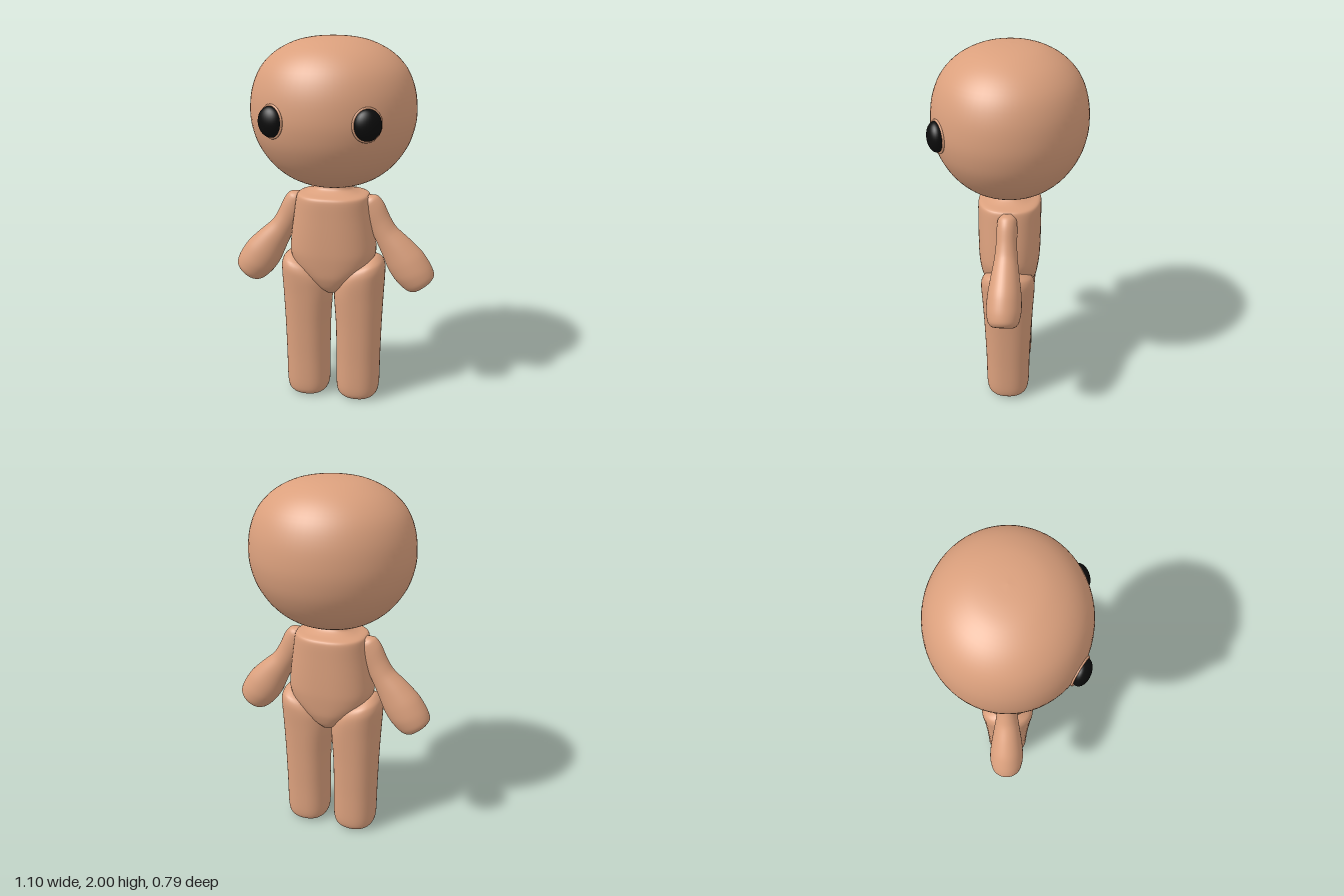
import * as THREE from 'three';

const skin = new THREE.MeshStandardMaterial({ color: 0xdba07d });
skin.name = 'skin';
const black = new THREE.MeshStandardMaterial({ color: 0x0c0c0c });
black.name = 'eyeBlack';

// Smooth closed loft. Each section, bottom to top: [right x, y, left x, y, half depth].
function loft(sections, power = 2, around = 40, steps = 4) {
  const ca = new THREE.CatmullRomCurve3(sections.map(s => new THREE.Vector3(s[0], s[1], s[4])), false, 'catmullrom', 0.4);
  const cb = new THREE.CatmullRomCurve3(sections.map(s => new THREE.Vector3(s[2], s[3], s[4])), false, 'catmullrom', 0.4);
  const rows = (sections.length - 1) * steps;
  const pos = [], index = [];
  const round = v => Math.sign(v) * Math.abs(v) ** (2 / power);
  for (let i = 0; i <= rows; i++) {
    const a = ca.getPoint(i / rows), b = cb.getPoint(i / rows);
    for (let j = 0; j < around; j++) {
      const t = (j / around) * Math.PI * 2;
      const c = round(Math.cos(t)) / 2;
      pos.push((a.x + b.x) / 2 + (a.x - b.x) * c, (a.y + b.y) / 2 + (a.y - b.y) * c, a.z * round(Math.sin(t)));
    }
  }
  for (let i = 0; i < rows; i++) {
    for (let j = 0; j < around; j++) {
      const k = (j + 1) % around;
      const p = i * around + j, q = i * around + k;
      index.push(p, p + around, q, q, p + around, q + around);
    }
  }
  // end caps
  for (let j = 1; j < around - 1; j++) {
    const top = rows * around;
    index.push(0, j, j + 1, top, top + j + 1, top + j);
  }
  const g = new THREE.BufferGeometry();
  g.setAttribute('position', new THREE.Float32BufferAttribute(pos, 3));
  g.setIndex(index);
  g.computeVertexNormals();
  return g;
}

const mirror = sections => sections.map(([ax, ay, bx, by, d]) => [-bx, by, -ax, ay, d]);

function add(parent, name, geometry, material) {
  const mesh = new THREE.Mesh(geometry, material);
  mesh.name = name;
  parent.add(mesh);
  return mesh;
}

export function createModel() {
  const model = new THREE.Group();
  model.name = 'figure';

  // Head: wide rounded dome, slightly shallower than wide
  const profile = new THREE.SplineCurve([
    [0, 1.23], [0.08, 1.235], [0.16, 1.252], [0.25, 1.295], [0.33, 1.365], [0.39, 1.455], [0.42, 1.54],
    [0.43, 1.63], [0.417, 1.74], [0.375, 1.84], [0.3, 1.918], [0.2, 1.971], [0.1, 1.994], [0, 2],
  ].map(p => new THREE.Vector2(...p))).getPoints(52);
  profile.forEach(p => { p.x = Math.max(0, p.x); });
  const head = new THREE.LatheGeometry(profile, 64);
  head.scale(1, 1, 0.92);
  add(model, 'head', head, skin);

  // Torso with pelvis and neck: [y, half width, half depth]
  const torso = [
    [0.625, 0.008, 0.03], [0.64, 0.03, 0.08], [0.68, 0.085, 0.122], [0.74, 0.155, 0.148], [0.8, 0.21, 0.158],
    [0.87, 0.233, 0.165], [0.96, 0.227, 0.167], [1.08, 0.21, 0.167], [1.165, 0.197, 0.166], [1.188, 0.185, 0.155],
    [1.2, 0.14, 0.115], [1.22, 0.1, 0.078], [1.26, 0.09, 0.07],
  ].map(([y, w, d]) => [w, y, -w, y, d]);
  add(model, 'torso', loft(torso, 2.4, 56), skin);

  const leg = [
    [0.2, 0.003, 0.09, 0.003, 0.06], [0.235, 0.01, 0.052, 0.01, 0.095], [0.257, 0.035, 0.03, 0.035, 0.114],
    [0.265, 0.09, 0.022, 0.09, 0.121], [0.267, 0.25, 0.022, 0.25, 0.123], [0.272, 0.45, 0.018, 0.45, 0.13],
    [0.279, 0.62, 0.008, 0.62, 0.139], [0.284, 0.72, 0.02, 0.7, 0.144], [0.285, 0.785, 0.045, 0.74, 0.142],
    [0.272, 0.825, 0.08, 0.78, 0.125], [0.24, 0.85, 0.13, 0.82, 0.07], [0.2, 0.85, 0.17, 0.84, 0.02],
  ];
  const arm = [
    [0.5, 0.698, 0.485, 0.688, 0.015], [0.54, 0.733, 0.438, 0.66, 0.058], [0.551, 0.765, 0.395, 0.675, 0.08],
    [0.532, 0.815, 0.343, 0.725, 0.09], [0.485, 0.885, 0.303, 0.785, 0.086], [0.415, 0.952, 0.268, 0.865, 0.073],
    [0.343, 1.015, 0.235, 0.935, 0.06], [0.305, 1.075, 0.2, 1.0, 0.054], [0.272, 1.145, 0.165, 1.06, 0.053],
    [0.24, 1.182, 0.155, 1.13, 0.047], [0.2, 1.188, 0.17, 1.175, 0.02],
  ];

  for (const [side, s] of [['left', 1], ['right', -1]]) {
    add(model, side + 'Leg', loft(s > 0 ? leg : mirror(leg), 2.3), skin);
    add(model, side + 'Arm', loft(s > 0 ? arm : mirror(arm)), skin);

    // Eye: bulging oval with a thin skin rim
    const eye = new THREE.Group();
    eye.name = side + 'Eye';
    eye.position.set(0.236 * s, 1.61, 0.335);
    eye.rotation.y = 0.38 * s;
    const ball = new THREE.SphereGeometry(1, 32, 20);
    ball.scale(0.069, 0.076, 0.045);
    add(eye, side + 'Eyeball', ball, black);
    const rim = new THREE.TorusGeometry(0.073, 0.006, 8, 40);
    rim.scale(1, 1.08, 1);
    const lid = add(eye, side + 'EyeRim', rim, skin);
    lid.position.z = -0.006;
    lid.rotation.y = 0.18 * s;
    model.add(eye);
  }
  return model;
}
